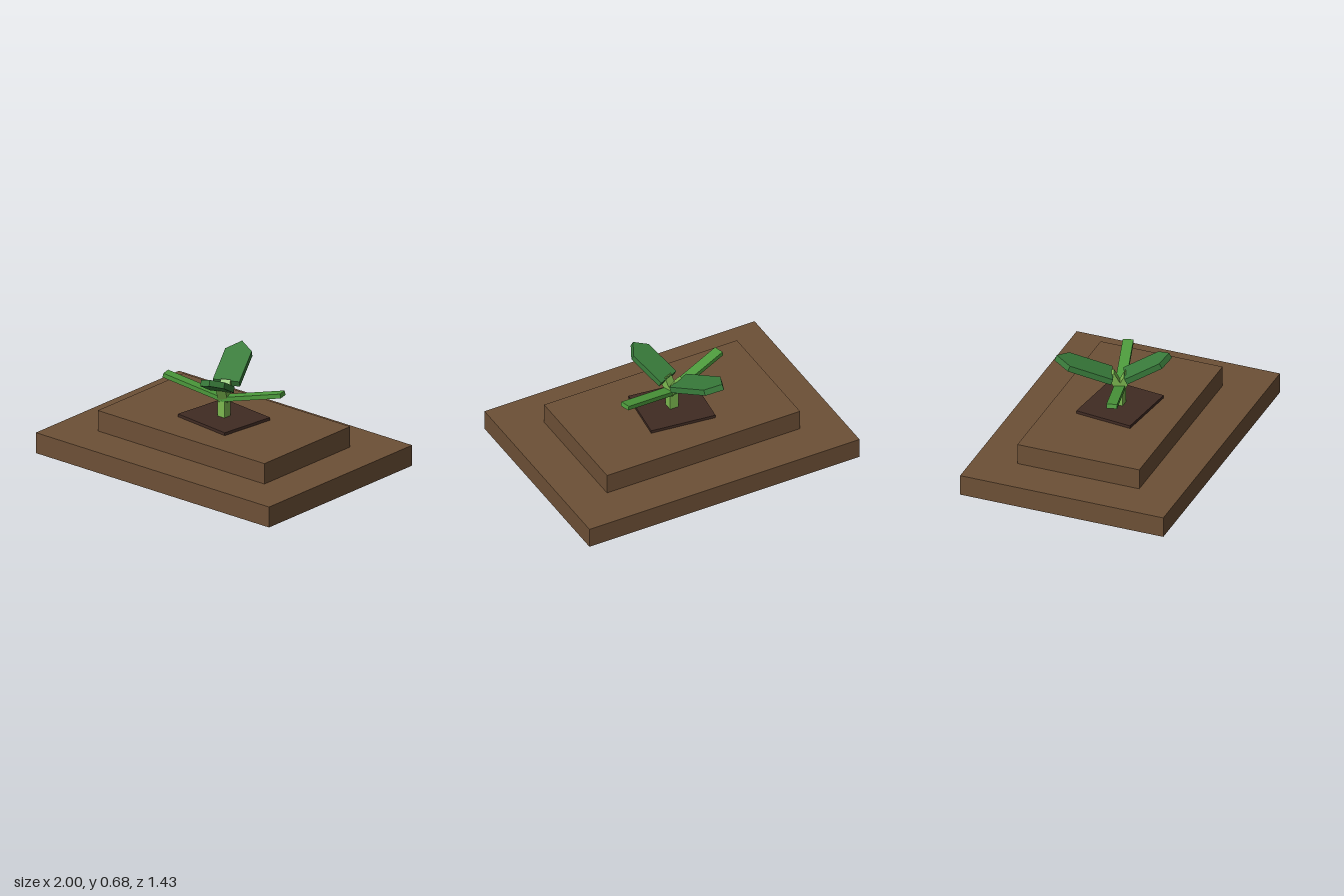
import * as THREE from 'three';

const mat = (name, color) => {
  const m = new THREE.MeshStandardMaterial({ color });
  m.name = name;
  return m;
};

export function createModel() {
  const model = new THREE.Group();
  const earth = mat('earth brown', 0x6d5036);
  const soil = mat('dark soil', 0x402b23);
  const stemGreen = mat('stem green', 0x7cb950);
  const bladeGreen = mat('blade green', 0x4c9a3b);
  const leafGreen = mat('leaf green', 0x397c3b);

  const add = (name, geometry, material, x = 0, y = 0, z = 0) => {
    const mesh = new THREE.Mesh(geometry, material);
    mesh.name = name;
    mesh.position.set(x, y, z);
    model.add(mesh);
    return mesh;
  };

  // Stepped earth bed and soil patch
  add('baseSlab', new THREE.BoxGeometry(2, 0.143, 1.429), earth, 0, 0.0715, 0);
  add('upperSlab', new THREE.BoxGeometry(1.429, 0.143, 0.857), earth, 0, 0.2145, 0);
  add('soilPatch', new THREE.BoxGeometry(0.45, 0.02, 0.4), soil, 0, 0.296, 0).rotation.y = -0.12;

  // Stem
  add('stem', new THREE.BoxGeometry(0.06, 0.12, 0.06), stemGreen, 0, 0.36, 0);

  // Places a part whose length runs along local +z, starting at radius r and height y
  const radiate = (name, geometry, material, azimuth, pitch, r, y) => {
    const a = THREE.MathUtils.degToRad(azimuth);
    const mesh = add(name, geometry, material, Math.sin(a) * r, y, Math.cos(a) * r);
    mesh.rotation.set(-THREE.MathUtils.degToRad(pitch), a, 0, 'YXZ');
  };
  const bar = (w, t, len) => new THREE.BoxGeometry(w, t, len).translate(0, 0, len / 2);

  // Pointed leaf plate
  const leaf = (w, t, len, tip) => {
    const s = new THREE.Shape();
    s.moveTo(-w / 2, 0);
    s.lineTo(w / 2, 0);
    s.lineTo(w / 2, len - tip);
    s.lineTo(0, len);
    s.lineTo(-w / 2, len - tip);
    s.closePath();
    return new THREE.ExtrudeGeometry(s, { depth: t, bevelEnabled: false })
      .rotateX(Math.PI / 2).translate(0, t / 2, 0);
  };

  // Short stalks carrying the broad leaves
  radiate('frontStalk', bar(0.065, 0.05, 0.12), stemGreen, 24, 62, 0, 0.42);
  radiate('backStalk', bar(0.065, 0.05, 0.13), stemGreen, 204, 62, 0, 0.42);

  // Narrow side blades
  for (const [name, azimuth] of [['leftBlade', 105], ['rightBlade', 285]])
    radiate(name, bar(0.07, 0.03, 0.435), bladeGreen, azimuth, 13, 0, 0.43);

  // Broad leaves
  radiate('frontLeaf', leaf(0.16, 0.042, 0.33, 0.075), leafGreen, 24, 27, 0.035, 0.51);
  radiate('backLeaf', leaf(0.18, 0.042, 0.39, 0.09), leafGreen, 204, 21, 0.055, 0.515);

  return model;
}
